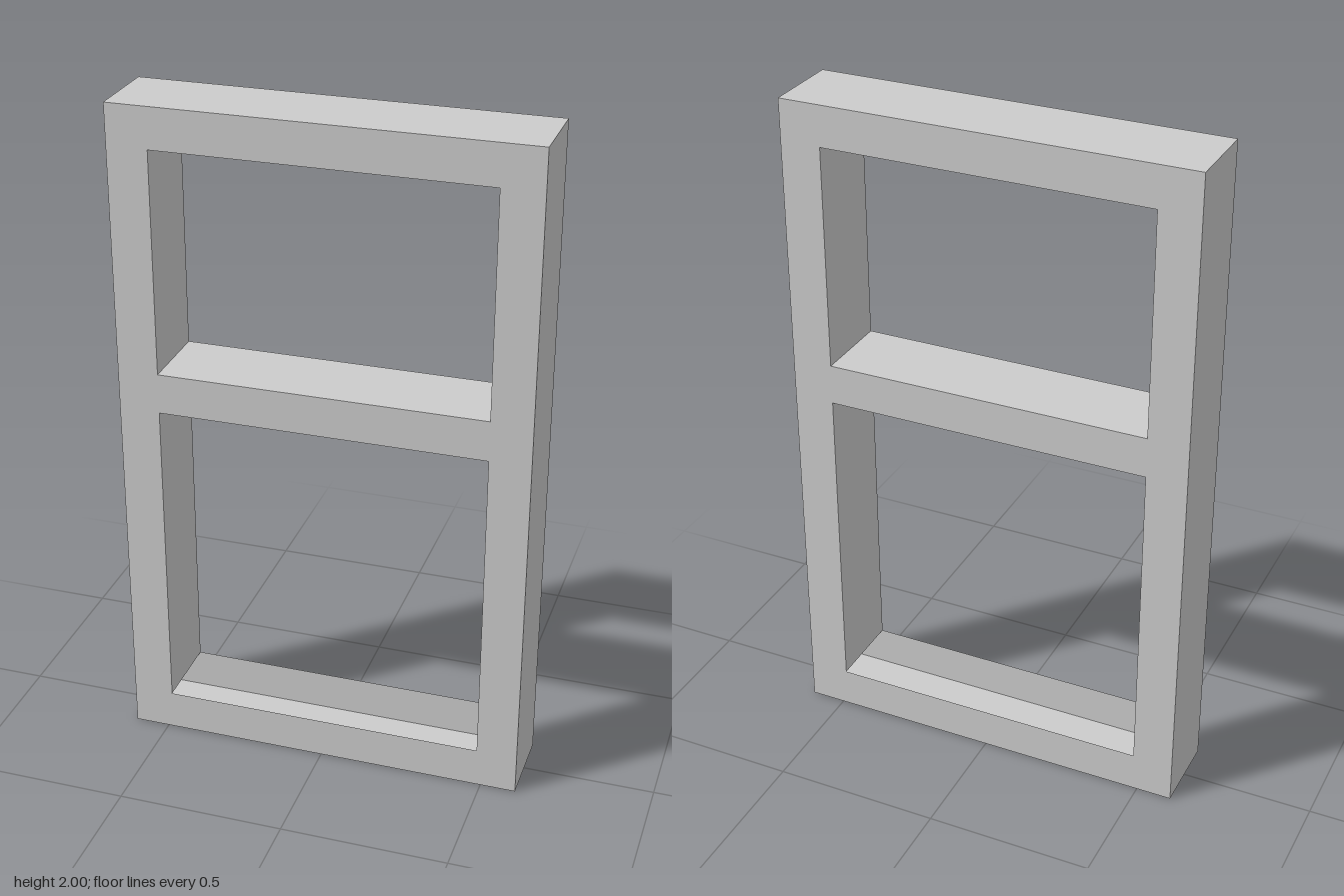
import * as THREE from 'three';

// Hollow sheet window frame: two cut-out faces, an outer skin and partial reveals.
const U = 2 / 66;                       // base module
const W = 20 * U, IN = 16 * U;          // half width, half opening width
const H = 66 * U, D = 4 * U;            // height, half depth
const OPENINGS = [[4 * U, 36 * U], [40 * U, 62 * U]]; // bottom and top of each opening

const material = new THREE.MeshStandardMaterial({ color: 0xcccccc, side: THREE.DoubleSide, flatShading: true });

function rect(path, hw, y0, y1) {
  path.moveTo(-hw, y0).lineTo(hw, y0).lineTo(hw, y1).lineTo(-hw, y1).closePath();
  return path;
}

export function createModel() {
  const group = new THREE.Group();
  group.name = 'windowFrame';

  const add = (name, geometry) => {
    const mesh = new THREE.Mesh(geometry, material);
    mesh.name = name;
    group.add(mesh);
    return mesh;
  };

  // vertical sheet at x, facing +x (dir 1) or -x (dir -1)
  const upright = (name, x, y0, y1, dir) => {
    const mesh = add(name, new THREE.PlaneGeometry(2 * D, y1 - y0));
    mesh.rotation.y = dir * Math.PI / 2;
    mesh.position.set(x, (y0 + y1) / 2, 0);
  };

  // horizontal sheet at y, facing up (dir 1) or down (dir -1)
  const level = (name, y, hw, dir) => {
    const mesh = add(name, new THREE.PlaneGeometry(2 * hw, 2 * D));
    mesh.rotation.x = -dir * Math.PI / 2;
    mesh.position.y = y;
  };

  // front and back faces with two openings
  const face = rect(new THREE.Shape(), W, 0, H);
  for (const [y0, y1] of OPENINGS) face.holes.push(rect(new THREE.Path(), IN, y0, y1));
  const faceGeometry = new THREE.ShapeGeometry(face);
  add('frontFace', faceGeometry).position.z = D;
  const back = add('backFace', faceGeometry);
  back.rotation.y = Math.PI;
  back.position.z = -D;

  // outer skin
  level('topSkin', H, W, 1);
  level('bottomSkin', 0, W, -1);
  for (const s of [-1, 1]) {
    const side = s > 0 ? 'left' : 'right';
    upright(side + 'Skin', s * W, 0, H, s);
    // jamb sheets inside each opening
    OPENINGS.forEach(([y0, y1], i) =>
      upright(side + (i ? 'Upper' : 'Lower') + 'Jamb', s * IN, y0, y1, -s));
  }

  // the middle rail is closed on top only; other rails stay open to the opening
  level('middleRailTop', OPENINGS[1][0], IN, 1);
  return group;
}
